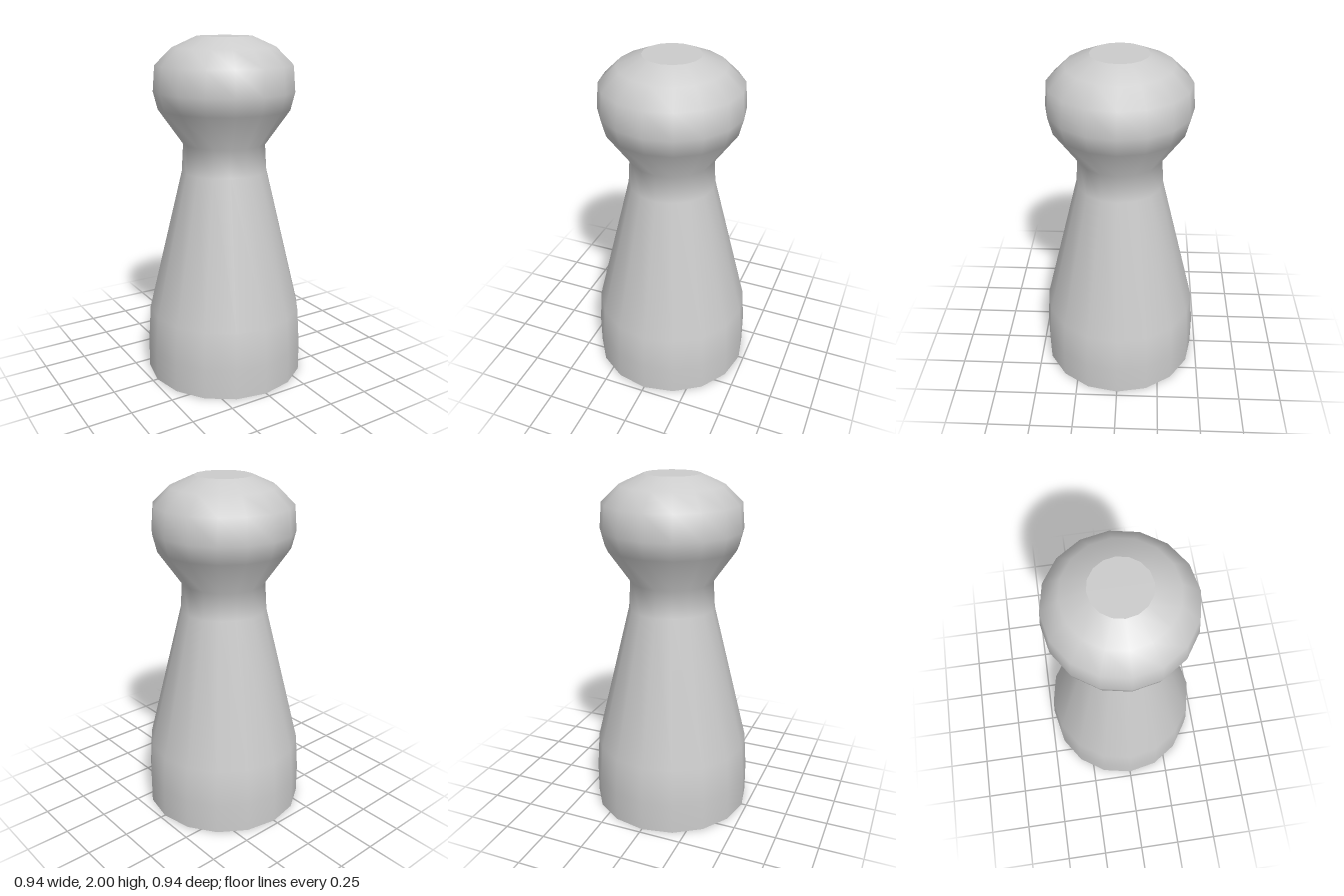
import * as THREE from 'three';

const SIDES = 16;

export function createModel() {
  const group = new THREE.Group();
  group.name = 'gamePawn';
  const material = new THREE.MeshStandardMaterial({ color: 0xcccccc });

  const add = (name, geometry, y = 0) => {
    const mesh = new THREE.Mesh(geometry, material);
    mesh.name = name;
    mesh.position.y = y;
    group.add(mesh);
  };

  // Smooth turned side: straight foot, tapering body, neck and rounded head
  const profile = [
    [0.47, 0], [0.47, 0.18], [0.455, 0.4], [0.25, 1.24], [0.24, 1.4],
    [0.38, 1.6], [0.405, 1.7], [0.393, 1.845], [0.295, 1.94], [0.16, 2],
  ].map(([r, y]) => new THREE.Vector2(r, y));
  add('turnedBody', new THREE.LatheGeometry(profile, SIDES));

  // Flat end faces with sharp rims
  add('headTop', new THREE.CircleGeometry(0.16, SIDES).rotateX(-Math.PI / 2), 2);
  add('baseBottom', new THREE.CircleGeometry(0.47, SIDES).rotateX(Math.PI / 2));

  return group;
}
